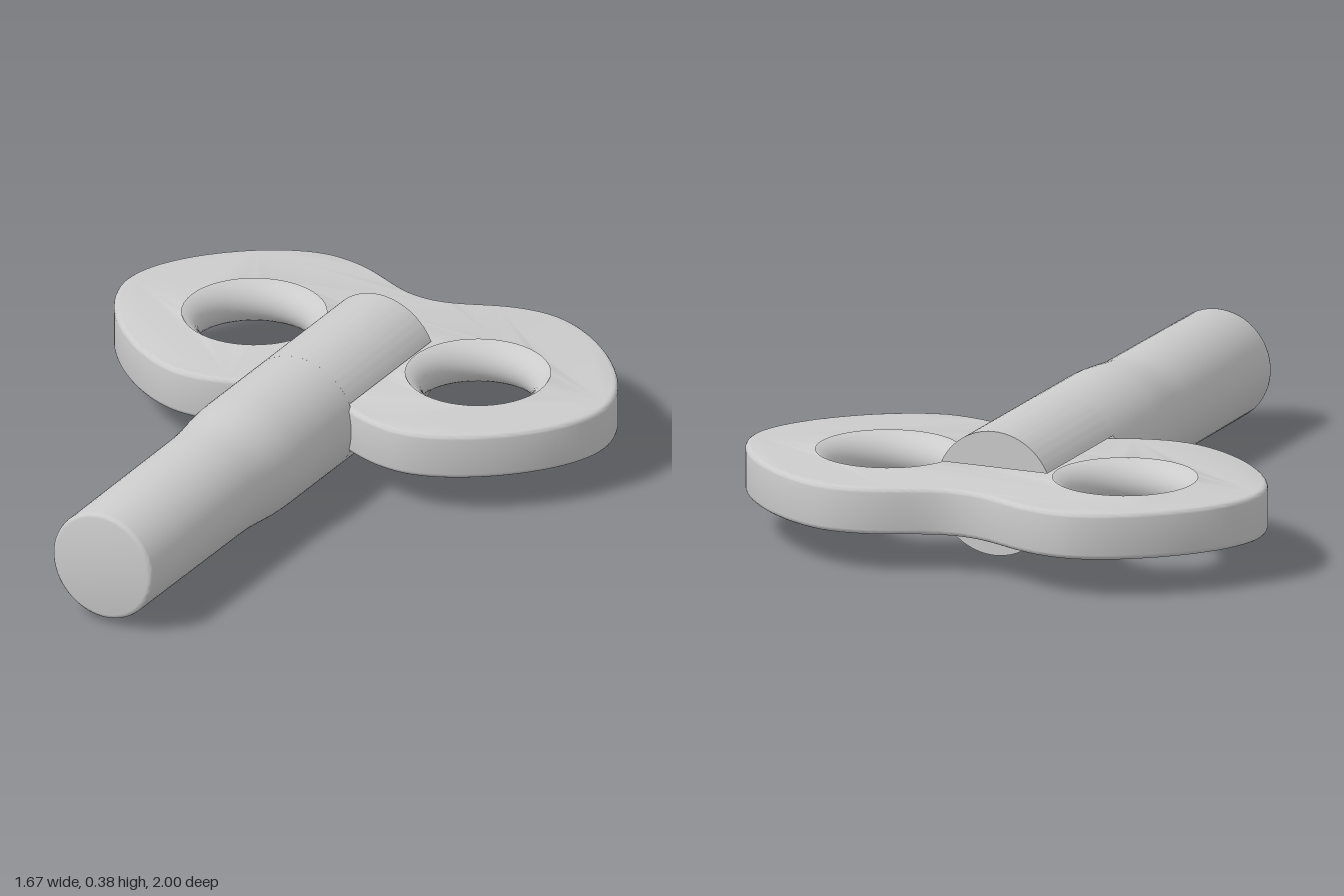
import * as THREE from 'three';
import { toCreasedNormals } from 'three/addons/utils/BufferGeometryUtils.js';

const MID = 0.197;      // height of the key's axis
const HALF = 0.073;     // half thickness of the handle plate
const SLOT = 0.081;     // half height of the slot in the shaft
const R = 0.192;        // shaft radius at the slotted end
const HOLE = { x: 0.39, z: -0.555, inner: 0.165, outer: 0.25 };

const material = new THREE.MeshStandardMaterial({ color: 0xcccccc });

function part(name, geometry, crease = 0.7) {
  const mesh = new THREE.Mesh(toCreasedNormals(geometry, crease), material);
  mesh.name = name;
  return mesh;
}

// Double-lobed plate, drawn around its own centre, with wide openings for the hole rims
function handlePlate() {
  const s = new THREE.Shape();
  s.moveTo(0, 0.35);
  s.bezierCurveTo(0.13, 0.35, 0.2, 0.45, 0.37, 0.45);
  s.bezierCurveTo(0.55, 0.45, 0.835, 0.2, 0.835, 0);
  s.bezierCurveTo(0.835, -0.2, 0.55, -0.45, 0.37, -0.45);
  s.bezierCurveTo(0.2, -0.45, 0.13, -0.35, 0, -0.35);
  s.bezierCurveTo(-0.13, -0.35, -0.2, -0.45, -0.37, -0.45);
  s.bezierCurveTo(-0.55, -0.45, -0.835, -0.2, -0.835, 0);
  s.bezierCurveTo(-0.835, 0.2, -0.55, 0.45, -0.37, 0.45);
  s.bezierCurveTo(-0.2, 0.45, -0.13, 0.35, 0, 0.35);
  const bevel = 0.016;
  for (const side of [-1, 1]) {
    const hole = new THREE.Path();
    hole.absarc(side * HOLE.x, 0, HOLE.outer - bevel, 0, Math.PI * 2, true);
    s.holes.push(hole);
  }
  const g = new THREE.ExtrudeGeometry(s, {
    depth: 2 * (HALF - bevel), curveSegments: 24,
    bevelThickness: bevel, bevelSize: bevel, bevelOffset: -bevel, bevelSegments: 4,
  });
  g.translate(0, 0, -(HALF - bevel));
  g.rotateX(-Math.PI / 2);
  return part('handlePlate', g);
}

// Softly rounded inner wall of a finger hole
function holeRim() {
  const points = [];
  for (let i = 0; i <= 16; i++) {
    const a = Math.PI / 2 - (i / 16) * Math.PI;
    points.push(new THREE.Vector2(
      HOLE.outer - (HOLE.outer - HOLE.inner) * Math.cos(a), HALF * Math.sin(a)));
  }
  return part('holeRim', new THREE.LatheGeometry(points, 48));
}

// Solid round part of the shaft, flaring towards the handle
function shaft() {
  const profile = [
    [0, -0.16], [R, -0.16], [R, 0.14], [0.191, 0.18], [0.188, 0.22], [0.183, 0.27],
    [0.179, 0.31], [0.176, 0.35], [0.175, 0.4], [0.173, 0.985],
    [0.171, 0.993], [0.166, 0.998], [0.159, 1], [0, 1],
  ].map(([r, y]) => new THREE.Vector2(r, y));
  const g = new THREE.LatheGeometry(profile, 64);
  g.rotateX(Math.PI / 2);
  return part('shaft', g);
}

// Half-moon prong gripping one face of the plate
function prong() {
  const a = Math.asin(SLOT / R);
  const s = new THREE.Shape();
  s.absarc(0, 0, R, a, Math.PI - a, false);
  s.closePath();
  const g = new THREE.ExtrudeGeometry(s, { depth: 0.48, bevelEnabled: false, curveSegments: 24 });
  g.translate(0, 0, -0.64);
  return part('prong', g);
}

export function createModel() {
  const key = new THREE.Group();
  key.name = 'windUpKey';

  const handle = new THREE.Group();
  handle.name = 'handle';
  handle.position.set(0, MID, -0.55);
  handle.add(handlePlate());
  for (const side of [-1, 1]) {
    const rim = holeRim();
    rim.position.x = side * HOLE.x;
    handle.add(rim);
  }

  const stem = new THREE.Group();
  stem.name = 'stem';
  stem.position.y = MID;
  stem.add(shaft());
  for (const turn of [0, Math.PI]) {
    const p = prong();
    p.rotation.z = turn;
    stem.add(p);
  }

  key.add(handle, stem);
  return key;
}
